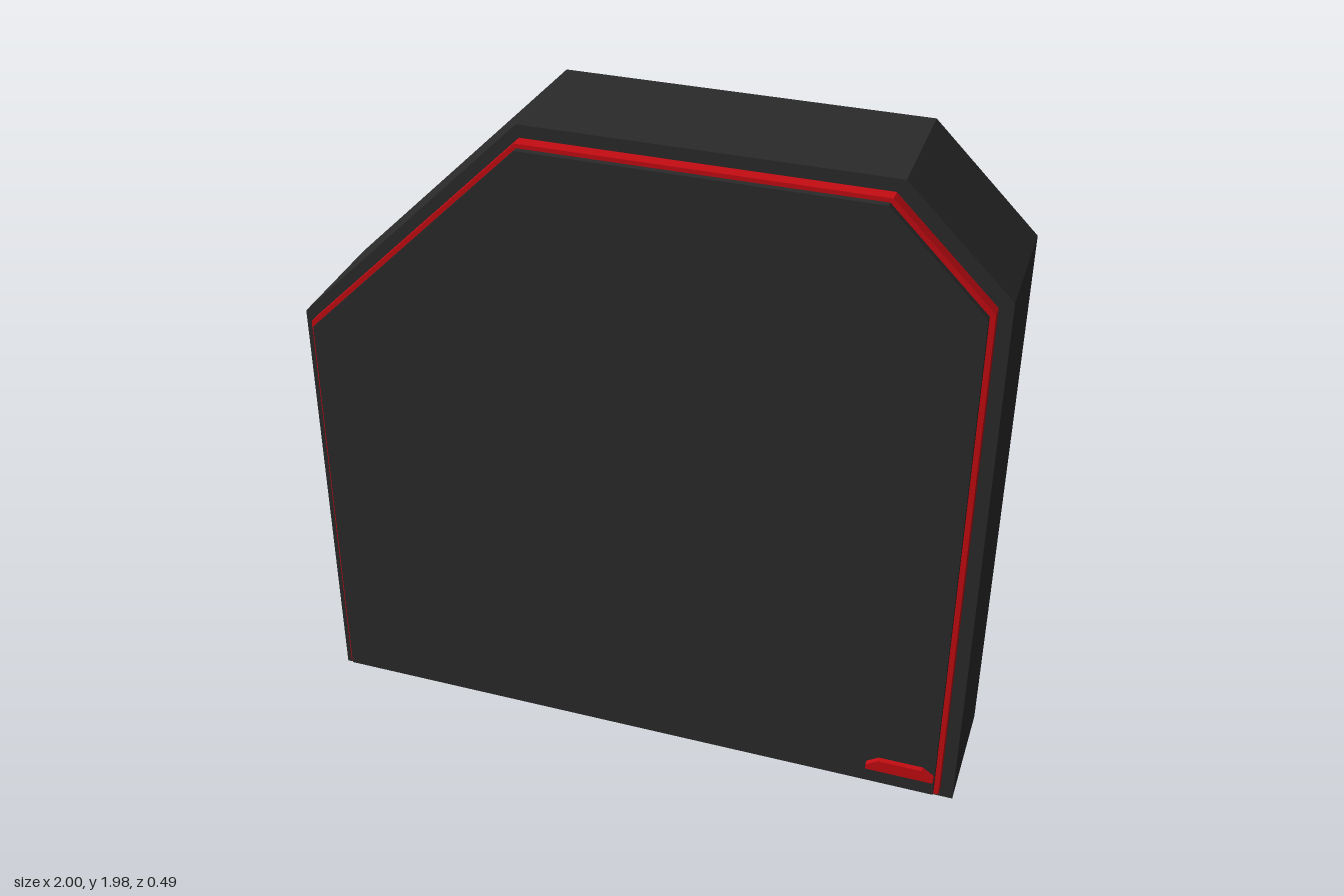
import * as THREE from 'three';

const dark = new THREE.MeshStandardMaterial({ color: 0x2a2a2a });
const red = new THREE.MeshStandardMaterial({ color: 0xc40c12 });

// Extrude an outline between two depths
function slab(name, points, z0, z1, material) {
  const shape = new THREE.Shape(points.map(([x, y]) => new THREE.Vector2(x, y)));
  const geometry = new THREE.ExtrudeGeometry(shape, { depth: z1 - z0, bevelEnabled: false });
  geometry.translate(0, 0, z0);
  const mesh = new THREE.Mesh(geometry, material);
  mesh.name = name;
  return mesh;
}

export function createModel() {
  const model = new THREE.Group();
  model.name = 'case';

  // Main casing with two clipped top corners
  const body = [[-0.975, 0], [1, 0], [1, 1.69], [0.708, 1.98], [-0.305, 1.98], [-0.975, 1.31]];
  model.add(slab('casing', body, -0.2, 0.173, dark));

  // Red trim plates, showing as a thin line around each cover
  const trim = [[-0.94, 0.04], [0.962, 0.04], [0.962, 1.67], [0.686, 1.944], [-0.297, 1.944], [-0.94, 1.301]];
  model.add(slab('frontTrim', trim, 0.173, 0.21, red));
  model.add(slab('backTrim', trim, -0.221, -0.2, red));

  // Dark covers
  const cover = [[-0.927, 0.051], [0.947, 0.051], [0.947, 1.663], [0.679, 1.932], [-0.291, 1.932], [-0.927, 1.295]];
  model.add(slab('frontCover', cover, 0.21, 0.228, dark));
  model.add(slab('backCover', cover, -0.244, -0.221, dark));

  // Small bar with clipped top corners, used for the front tab and side slats
  const bar = [[-0.1, -0.02], [0.1, -0.02], [0.1, -0.003], [0.065, 0.02], [-0.065, 0.02], [-0.1, -0.003]];
  const tab = slab('frontTab', bar, 0.228, 0.244, red);
  tab.position.set(0.845, 0.13, 0);
  model.add(tab);

  // Four slats on the right side
  for (let i = 0; i < 4; i++) {
    const slat = slab('sideSlat' + (i + 1), bar, 0, 0.025, red);
    slat.rotation.y = -Math.PI / 2;
    slat.position.set(-0.975, 0.933 + i * 0.072, -0.018);
    model.add(slat);
  }
  return model;
}
